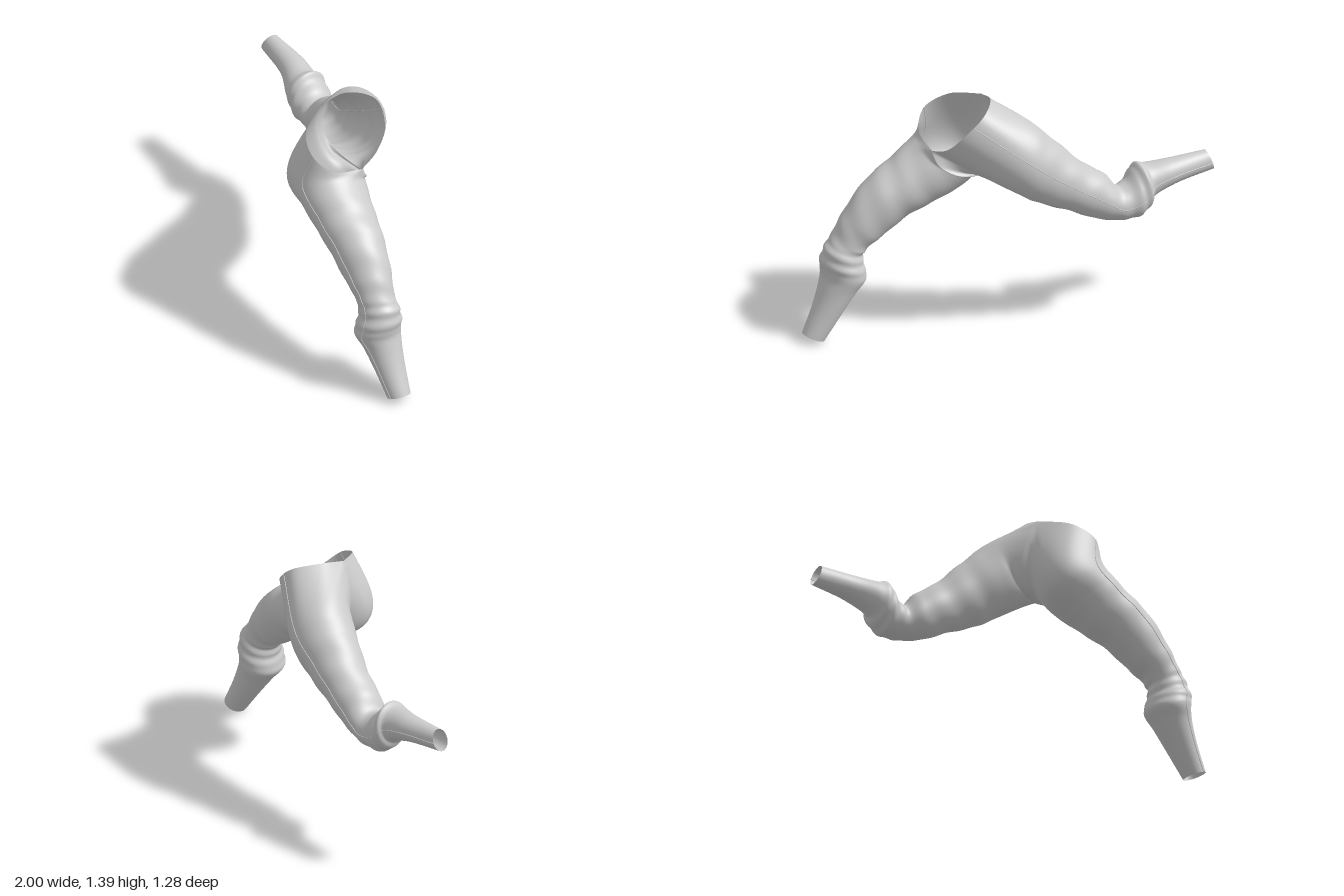
import * as THREE from 'three';
import { mergeVertices } from 'three/addons/utils/BufferGeometryUtils.js';

const N = 64;      // points around each leg
const STEPS = 12;  // rows between neighbouring cross-sections
const V = (x, y, z) => new THREE.Vector3(x, y, z);
const curve = (pts) => new THREE.CatmullRomCurve3(pts.map((p) => V(...p)));

// Waist: front centre to back centre around each hip
const waistRight = [[.37, 1.1, .19], [.31, 1.145, .36], [.215, 1.23, .42], [.1, 1.3, .35], [.04, 1.355, .15]];
const waistLeft = [[.37, 1.1, .19], [.37, 1.15, .07], [.345, 1.25, -.03], [.24, 1.36, -.08], [.1, 1.39, .01], [.04, 1.355, .15]];
// Centre seam: front centre, crotch, back centre
const centreSeam = [[.37, 1.1, .19], [.36, 1.02, .14], [.27, .955, .06], [.13, .94, .03],
  [.01, .98, .05], [-.025, 1.1, .1], [-.01, 1.24, .13], [.04, 1.355, .15]];

// Leg cross-sections: front x, y, back x, y, centre z, half width
const forwardLeg = [
  [.38, 1.07, .05, .89, .28, .2], [.5, .98, .22, .77, .345, .175], [.64, .88, .38, .69, .405, .15],
  [.76, .72, .52, .59, .455, .125], [.82, .6, .615, .525, .485, .106], [.865, .535, .64, .475, .495, .108],
  [.88, .45, .635, .41, .5, .13], [.872, .38, .625, .345, .5, .134], [.89, .31, .68, .275, .506, .112],
  [.93, .2, .78, .14, .52, .088], [.997, .053, .877, .003, .54, .066],
];
const trailingLeg = [
  [.1, .89, -.06, 1.25, -.14, .18], [-.03, .8, -.17, 1.13, -.22, .155], [-.18, .73, -.29, .99, -.3, .135],
  [-.34, .65, -.4, .9, -.37, .125], [-.47, .625, -.46, .82, -.425, .108], [-.57, .63, -.53, .87, -.45, .118],
  [-.63, .68, -.575, .93, -.46, .118], [-.65, .715, -.62, .917, -.47, .102],
  [-.76, .775, -.74, .925, -.525, .076], [-1, .81, -.955, .93, -.595, .05],
];

// Top ring of a leg: half of the waist, then back along the centre seam
function topRing(waist) {
  const w = curve(waist), s = curve(centreSeam), h = N / 2;
  return Array.from({ length: N }, (_, i) => (i <= h ? w.getPoint(i / h) : s.getPoint((N - i) / h)));
}

// Elliptical rings square to the leg's path
function legRings(sections, side) {
  const centres = sections.map(([fx, fy, bx, by, z]) => V((fx + bx) / 2, (fy + by) / 2, z));
  return sections.map(([fx, fy, bx, by, , b], k) => {
    const u = V((fx - bx) / 2, (fy - by) / 2, 0);
    const t = centres[Math.min(k + 1, centres.length - 1)].clone().sub(centres[Math.max(k - 1, 0)]);
    const v = t.cross(u).normalize();
    if (v.z * side < 0) v.negate();
    return Array.from({ length: N }, (_, i) => {
      const a = (i / N) * Math.PI * 2;
      return centres[k].clone().addScaledVector(u, Math.cos(a)).addScaledVector(v, b * Math.sin(a));
    });
  });
}

// Smooth rows through all rings, with a fuller seat and cloth folds
function legRows(waist, sections, side, kneeAt, seat) {
  const rings = [topRing(waist), ...legRings(sections, side)];
  const spans = rings.length - 1, rows = [];
  const columns = Array.from({ length: N }, (_, i) => new THREE.CatmullRomCurve3(rings.map((r) => r[i])));
  for (let j = 0; j <= spans * STEPS; j++) {
    const s = j / STEPS;
    const row = columns.map((c) => c.getPoint(s / spans));
    const centre = row.reduce((m, p) => m.add(p), V(0, 0, 0)).divideScalar(N);
    const knee = Math.exp(-(((s - kneeAt) / 1.1) ** 2));
    const thigh = Math.min(1, Math.max(0, s - 1)) * Math.min(1, Math.max(0, kneeAt - s));
    row.forEach((p, i) => {
      const a = (i / N) * Math.PI * 2;
      const fold = .035 * knee * Math.sin(s * 6.5 + 1.4 * Math.sin(a + .5))
        + .014 * thigh * Math.sin(s * 7 + 2 * Math.cos(a) + 3 * Math.sin(a));
      p.addScaledVector(p.clone().sub(centre), fold);
      if (s < 1.5) {
        const m = Math.max(0, Math.cos(a - 2.8)) ** 2 * Math.sin((s / 1.5) * Math.PI);
        p.x -= seat * m;
      }
    });
    rows.push(row);
  }
  return rows;
}

export function createModel() {
  const group = new THREE.Group();
  group.name = 'runningTrousers';
  const material = new THREE.MeshStandardMaterial({ color: 0xcccccc, side: THREE.DoubleSide });
  const legs = [
    { rows: legRows(waistRight, forwardLeg, 1, 6.3, .07), flip: false },
    { rows: legRows(waistLeft, trailingLeg, -1, 6, .01), flip: true },
  ];

  // Cloth: both legs joined along the centre seam
  const positions = [], index = [];
  for (const { rows, flip } of legs) {
    const base = positions.length / 3;
    rows.forEach((row) => row.forEach((p) => positions.push(p.x, p.y, p.z)));
    for (let j = 0; j < rows.length - 1; j++) {
      for (let i = 0; i < N; i++) {
        const k = (i + 1) % N;
        const a = base + j * N + i, b = base + j * N + k, c = a + N, d = b + N;
        if (flip) index.push(a, c, b, b, c, d);
        else index.push(a, b, c, b, d, c);
      }
    }
  }
  let cloth = new THREE.BufferGeometry();
  cloth.setAttribute('position', new THREE.Float32BufferAttribute(positions, 3));
  cloth.setIndex(index);
  cloth = mergeVertices(cloth, 1e-4);
  cloth.computeVertexNormals();
  const trousers = new THREE.Mesh(cloth, material);
  trousers.name = 'trousers';
  group.add(trousers);

  // Raised side seams from hip to cuff
  for (const { rows, flip } of legs) {
    const path = new THREE.CatmullRomCurve3(rows.filter((_, j) => j % 3 === 0).map((r) => r[N / 4]));
    const seam = new THREE.Mesh(new THREE.TubeGeometry(path, 160, .003, 6), material);
    seam.name = flip ? 'trailingLegSideSeam' : 'forwardLegSideSeam';
    group.add(seam);
  }
  return group;
}
